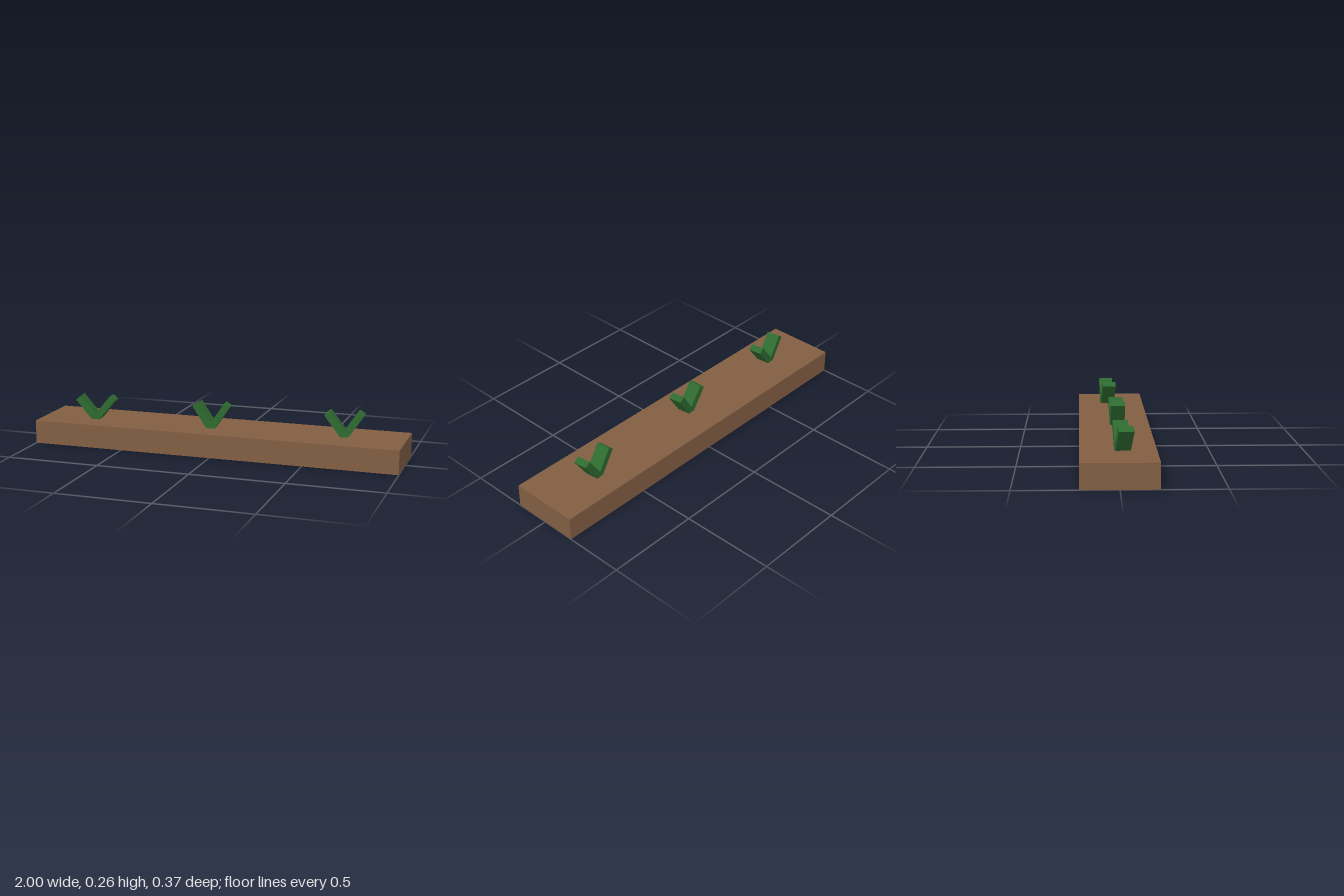
import * as THREE from 'three';

export function createModel() {
  const model = new THREE.Group();
  model.name = 'plantedSoilBed';

  const soil = new THREE.MeshStandardMaterial({ color: 0x825e43, side: THREE.DoubleSide });
  soil.name = 'soil brown';
  const leaf = new THREE.MeshStandardMaterial({ color: 0x2e6b30 });
  leaf.name = 'leaf green';

  // Soil bed: a box left open underneath
  const height = 0.126;
  const bedGeo = new THREE.BoxGeometry(2, height, 0.374);
  const faces = Array.from(bedGeo.index.array);
  faces.splice(18, 6); // drop the bottom face
  bedGeo.setIndex(faces);
  bedGeo.clearGroups();
  bedGeo.translate(0, height / 2, 0);
  const bed = new THREE.Mesh(bedGeo, soil);
  bed.name = 'soilBed';
  model.add(bed);

  // Blade with its pivot at the base
  const bladeGeo = new THREE.BoxGeometry(0.036, 0.152, 0.075);
  bladeGeo.translate(0, 0.076, 0);

  // Each sprout is a V of two blades: [tilt, yaw] in degrees
  const sprouts = [
    { name: 'rightSprout', x: -0.705, z: 0.021, blades: [[39, 9], [-39, 5]] },
    { name: 'middleSprout', x: -0.038, z: 0.018, blades: [[34, 0], [-34, 6]] },
    { name: 'leftSprout', x: 0.678, z: -0.021, blades: [[37, 7], [-34, 5]] },
  ];
  for (const { name, x, z, blades } of sprouts) {
    const sprout = new THREE.Group();
    sprout.name = name;
    sprout.position.set(x, height, z);
    blades.forEach(([tilt, yaw], i) => {
      const blade = new THREE.Mesh(bladeGeo, leaf);
      blade.name = i === 0 ? 'rightBlade' : 'leftBlade';
      blade.rotation.set(0, THREE.MathUtils.degToRad(yaw), THREE.MathUtils.degToRad(tilt), 'YXZ');
      sprout.add(blade);
    });
    model.add(sprout);
  }
  return model;
}
